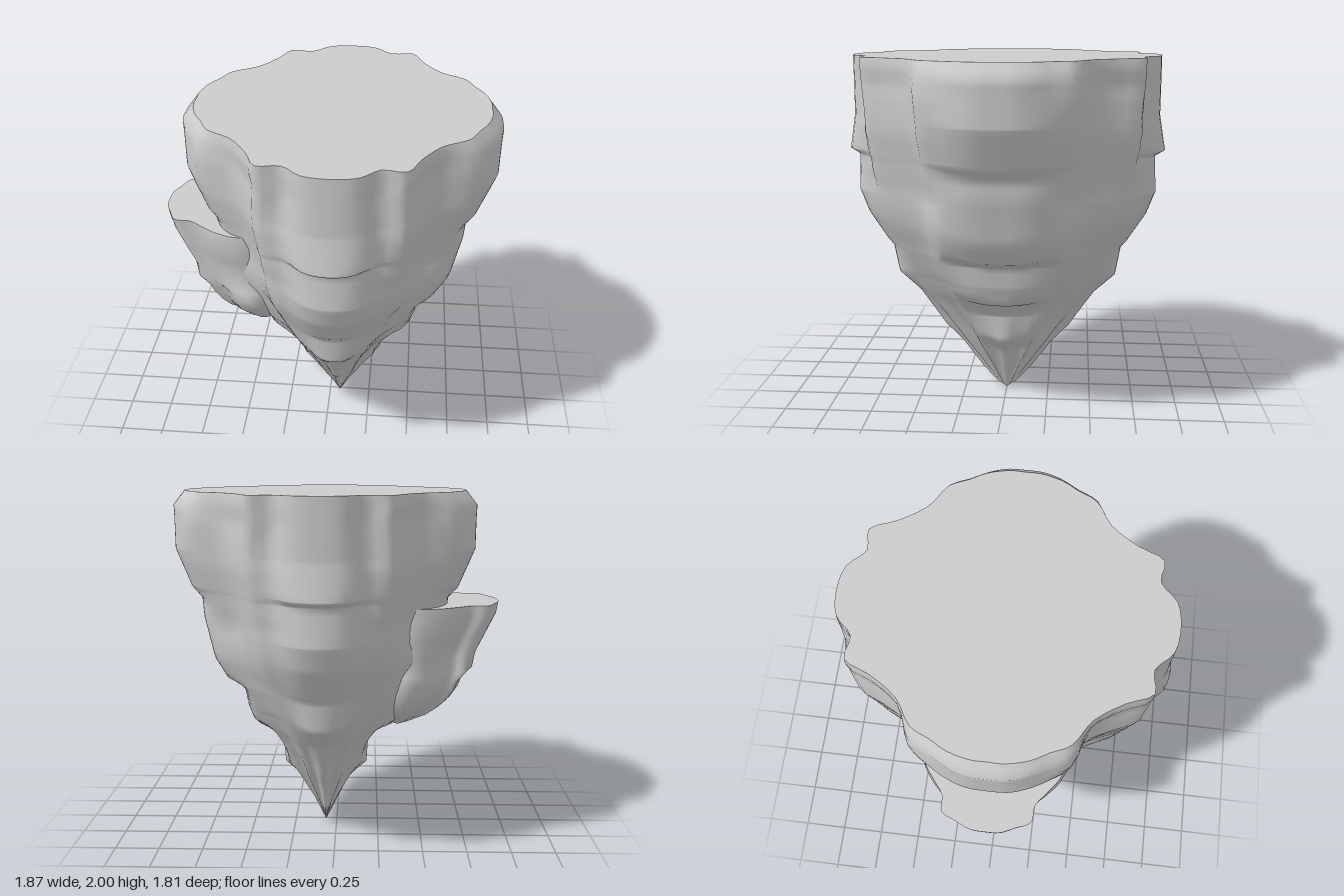
import * as THREE from 'three';

const material = new THREE.MeshStandardMaterial({ color: 0xcccccc });
const { lerp, clamp, smoothstep } = THREE.MathUtils;

// piecewise linear lookup in a list of [y, value], sorted downwards
function lookup(list, height) {
  const y = clamp(height, list[list.length - 1][0], list[0][0]);
  const i = Math.max(1, list.findIndex(p => y >= p[0]));
  const [y0, a] = list[i - 1], [y1, b] = list[i];
  return lerp(a, b, (y0 - y) / (y0 - y1));
}

// the same profile with its ledges worn away
function worn(list, y) {
  const reach = Math.min(0.12, 2 - y, y);
  return [-1, -0.5, 0, 0.5, 1].reduce((sum, k) => sum + lookup(list, y + k * reach) / 5, 0);
}

// skin a stack of rings (top to bottom, clockwise from above) down to a tip, with a sharp-edged flat top
function loft(rings, name) {
  const n = rings[0].length, index = [];
  const centre = new THREE.Vector3();
  rings[0].forEach(p => centre.addScaledVector(p, 1 / n));
  const points = [...rings.flat(), ...rings[0], centre];
  const top = rings.length * n;
  for (let j = 0; j < n; j++) {
    const k = (j + 1) % n;
    for (let i = 0; i < top - n; i += n) index.push(i + j, i + k, i + j + n, i + k, i + k + n, i + j + n);
    index.push(top + n, top + k, top + j);
  }
  const g = new THREE.BufferGeometry().setFromPoints(points);
  g.setIndex(index);
  g.computeVertexNormals();
  const mesh = new THREE.Mesh(g, material);
  mesh.name = name;
  return mesh;
}

// smooth closed ring through [x, z] points
function smoothRing(points, samples) {
  const curve = new THREE.CatmullRomCurve3(
    points.map(([x, z]) => new THREE.Vector3(x, 0, z)), true, 'centripetal');
  return Array.from({ length: samples }, (_, i) => curve.getPoint(i / samples));
}

// mirror a half outline across the x axis
const mirrored = half => [...half, ...half.slice(1, -1).reverse().map(([x, z]) => [x, -z])];

// mirror a quarter outline, running from the x axis to the z axis, to all four sides
const fourfold = q => mirrored([...q, ...q.slice(0, -1).reverse().map(([x, z]) => [-x, z])]);

function createRock() {
  // lobed cross-sections at a few heights
  const sections = [
    [2, [[0.8, 0], [0.8, 0.08], [0.77, 0.2], [0.72, 0.29], [0.67, 0.39], [0.535, 0.48], [0.43, 0.63],
      [0.365, 0.765], [0.24, 0.755], [0.14, 0.845], [0, 0.87]]],
    [1.85, [[0.865, 0], [0.86, 0.1], [0.835, 0.18], [0.785, 0.29], [0.72, 0.41], [0.535, 0.48], [0.43, 0.63],
      [0.365, 0.76], [0.24, 0.75], [0.14, 0.845], [0, 0.87]]],
    [1.25, [[0.69, 0], [0.69, 0.1], [0.675, 0.2], [0.63, 0.3], [0.55, 0.365], [0.465, 0.42], [0.4, 0.55],
      [0.335, 0.68], [0.24, 0.74], [0.13, 0.83], [0, 0.86]]],
    [0.9, [[0.54, 0], [0.54, 0.1], [0.52, 0.2], [0.475, 0.3], [0.41, 0.35], [0.35, 0.4], [0.3, 0.465],
      [0.255, 0.535], [0.2, 0.58], [0.1, 0.65], [0, 0.67]]],
    [0.55, [[0.32, 0], [0.32, 0.06], [0.31, 0.15], [0.275, 0.22], [0.225, 0.265], [0.19, 0.31], [0.16, 0.355],
      [0.13, 0.405], [0.09, 0.45], [0.05, 0.49], [0, 0.5]]],
  ].map(([y, q]) => [y, smoothRing(fourfold(q).map(([x, z]) => [x / q[0][0], z / q[10][1]]), 120)]);

  // half widths by height, sideways and front to back
  const wide = [[2, 0.8], [1.92, 0.865], [1.67, 0.86], [1.45, 0.765], [1.4, 0.71], [1.28, 0.7], [1.2, 0.68],
    [1.04, 0.645], [0.92, 0.575], [0.87, 0.475], [0.75, 0.455], [0.64, 0.415], [0.61, 0.325], [0.53, 0.255],
    [0.375, 0.245], [0.28, 0.14], [0, 0.002]];
  const deep = [[2, 0.87], [1.67, 0.87], [1.47, 0.905], [1.44, 0.85], [1.23, 0.86], [1.1, 0.81], [0.93, 0.7],
    [0.9, 0.67], [0.73, 0.64], [0.62, 0.52], [0.4, 0.37], [0.3, 0.27], [0.14, 0.15], [0.04, 0.06], [0, 0.002]];

  const even = Array.from({ length: 51 }, (_, i) => i / 25);
  const heights = [...new Set([...wide.map(p => p[0]), ...deep.map(p => p[0]), ...even])].sort((a, b) => b - a);
  const rings = heights.map(y => {
    const found = sections.findIndex(s => y >= s[0]);
    const k = found < 0 ? sections.length - 1 : found;
    const low = sections[k], high = sections[Math.max(k - 1, 0)];
    const t = k === 0 || found < 0 ? 0 : (y - low[0]) / (high[0] - low[0]);
    return low[1].map((p, j) => {
      const v = p.clone().lerp(high[1][j], t);
      const ax = Math.abs(v.x), az = Math.abs(v.z);
      // ledges bow downwards in the middle of each side and fade out towards the corners
      const fade = smoothstep(y, 0, 0.1) * (1 - smoothstep(y, 1.7, 1.9));
      const w = lerp(worn(wide, y), lookup(wide, y - 0.15 * az * az * fade), smoothstep(ax, 0.75, 1));
      const d = lerp(worn(deep, y), lookup(deep, y - 0.15 * ax * ax * fade), smoothstep(az, 0.8, 1));
      // shallow flutes run down to the tip
      const flute = 1 + 0.05 * (1 - smoothstep(y, 0.3, 0.7)) * (Math.cos(12 * Math.atan2(v.z, v.x)) - 1);
      return new THREE.Vector3(0.065 + v.x * w * flute, y, v.z * d * flute);
    });
  });
  return loft(rings, 'rock');
}

function createLedge() {
  // half outline from the outer edge into the rock
  const half = [[-0.59, 0], [-0.585, 0.08], [-0.55, 0.16], [-0.51, 0.24], [-0.42, 0.25], [-0.35, 0.3],
    [-0.25, 0.37], [-0.13, 0.41], [-0.03, 0.4], [0.12, 0.3], [0.15, 0]];
  const unit = smoothRing(mirrored(half).reverse(), 72);
  // height, reach and width scale of each level
  const levels = [[1.365, 1, 1], [1.3, 0.98, 0.99], [1.18, 0.88, 0.96], [1.07, 0.79, 0.89], [0.98, 0.76, 0.95],
    [0.92, 0.66, 0.94], [0.86, 0.62, 0.87], [0.8, 0.55, 0.78], [0.75, 0.46, 0.68], [0.7, 0.34, 0.54],
    [0.64, 0.13, 0.28], [0.61, 0.01, 0.01]];
  const rings = levels.map(([y, sx, sz], i) => unit.map(p => {
    // slight tilt of the flat top and a rippled rock face below
    const ripple = i ? 1 + 0.025 * Math.sin(p.z * 18 + i * 1.2) : 1;
    const tilt = i ? 0 : 0.01 * (p.x + 0.59);
    return new THREE.Vector3(-0.35 + p.x * sx * (p.x < -0.5 ? 1 : ripple), y + tilt, p.z * sz * ripple);
  }));
  return loft(rings, 'sideLedge');
}

export function createModel() {
  const group = new THREE.Group();
  group.name = 'floatingRock';
  group.add(createRock(), createLedge());
  return group;
}
